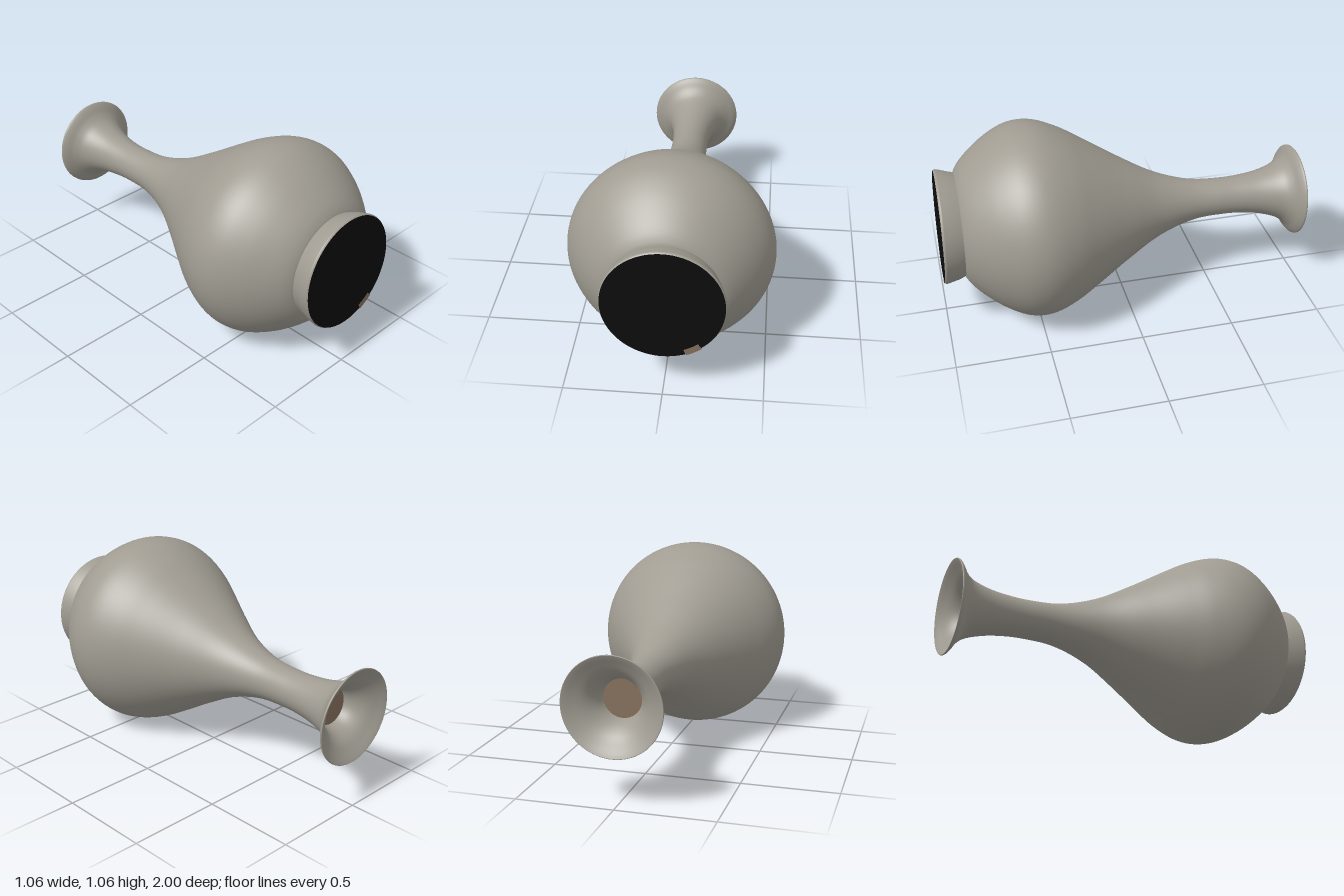
import * as THREE from 'three';

// Pear-shaped bottle lying along z: mouth at -z, foot at +z
export function createModel() {
  const mat = (name, color) => {
    const m = new THREE.MeshStandardMaterial({ color });
    m.name = name;
    return m;
  };
  const glaze = mat('grey glaze', 0xa09c92);
  const dark = mat('black base', 0x0d0d0d);
  const clay = mat('brown clay', 0x85705c);

  const group = new THREE.Group();
  group.name = 'bottle';

  // Slightly crooked axis, and end faces that are not quite square to it
  const settle = (geo) => {
    const p = geo.attributes.position;
    for (let i = 0; i < p.count; i++) {
      const x = p.getX(i), y = p.getY(i), z = p.getZ(i);
      const tilt = THREE.MathUtils.smoothstep(Math.abs(z), 0.85, 0.98) * 0.025;
      const axis = 0.53 + (z > 0.5 ? 0.04 * (z - 0.5) : 0.024 * (z - 0.5));
      const drift = z < -0.7 ? -(z + 0.7) * 0.03 : z > 0.9 ? 0.004 : 0;
      p.setXYZ(i, x + drift, y + axis, z - tilt * y);
    }
    geo.computeBoundingSphere();
    return geo;
  };
  const add = (name, geo, material) => {
    const mesh = new THREE.Mesh(settle(geo), material);
    mesh.name = name;
    group.add(mesh);
  };
  // Turn a profile of [radius, z] pairs about the z axis
  const turn = (pairs, steps) => {
    const curve = new THREE.CatmullRomCurve3(pairs.map(([r, z]) => new THREE.Vector3(r, z, 0)));
    const pts = curve.getPoints(steps).map((v) => new THREE.Vector2(v.x, v.y));
    return new THREE.LatheGeometry(pts, 96).rotateX(Math.PI / 2);
  };

  // Flared mouth lining, lip, neck and belly in one smooth profile
  add('body', turn([
    [0.092, -0.82], [0.115, -0.88], [0.155, -0.93], [0.21, -0.968], [0.243, -0.988],
    [0.251, -0.991], [0.252, -0.984], [0.235, -0.967], [0.195, -0.94], [0.16, -0.9],
    [0.125, -0.8], [0.107, -0.68], [0.103, -0.57], [0.115, -0.4], [0.178, -0.2],
    [0.288, 0], [0.412, 0.2], [0.476, 0.31], [0.52, 0.42], [0.531, 0.5],
    [0.516, 0.59], [0.46, 0.7], [0.382, 0.8], [0.325, 0.855], [0.29, 0.878], [0.274, 0.885],
  ], 180), glaze);

  // Splayed foot ring
  add('foot', turn([
    [0.272, 0.87], [0.28, 0.892], [0.292, 0.93], [0.302, 0.97], [0.304, 0.983], [0.298, 0.992],
  ], 30), glaze);

  // Flat underside and a bare clay spot on its edge
  add('base', new THREE.CircleGeometry(0.299, 96).translate(0, 0, 0.992), dark);
  add('baseSpot', new THREE.RingGeometry(0.27, 0.304, 16, 1, -1.19, 0.3).translate(0, 0, 0.994), clay);

  // Clay seen down the throat
  add('throat', new THREE.CircleGeometry(0.1, 64).rotateY(Math.PI).translate(0, 0, -0.835), clay);

  return group;
}
